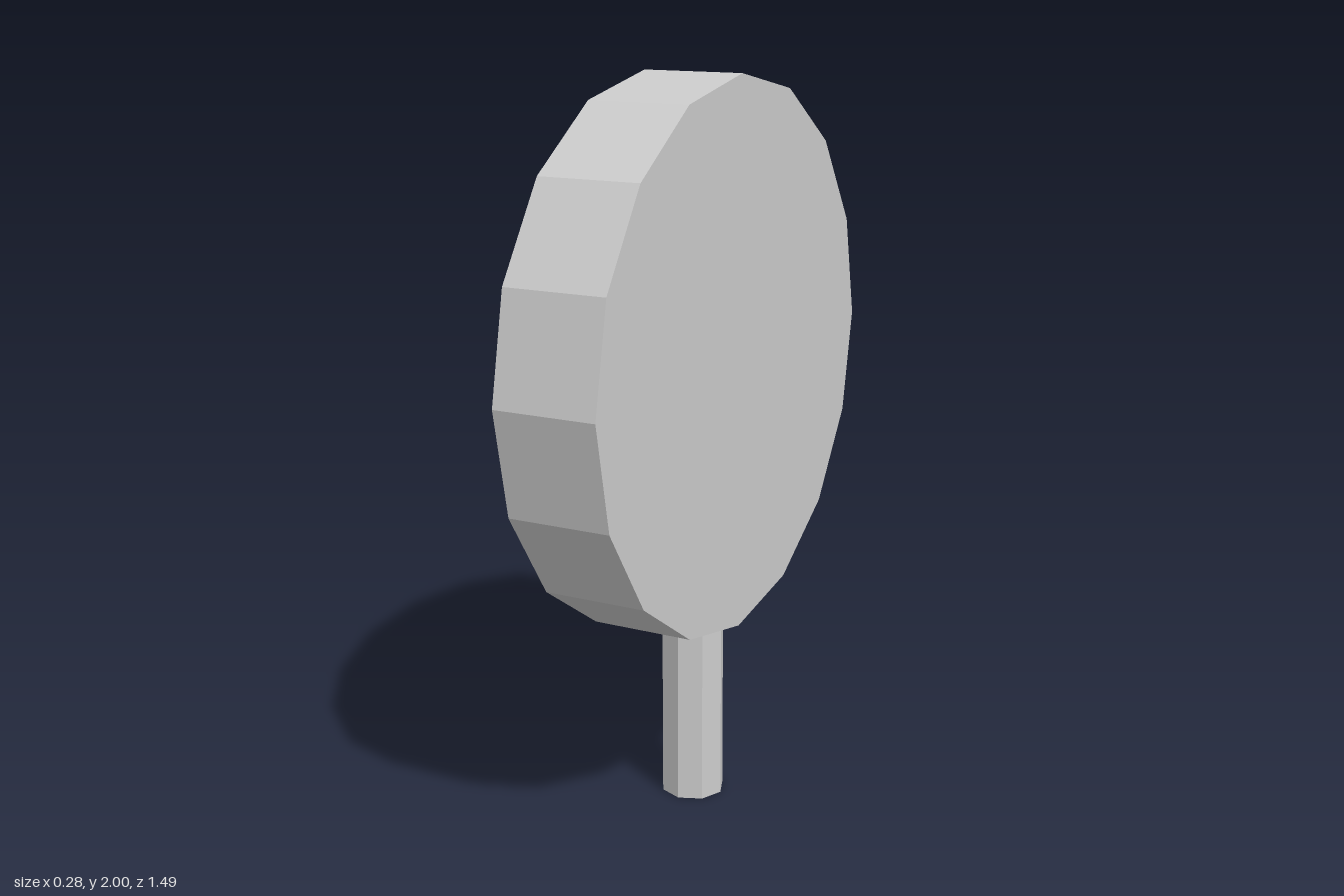
import * as THREE from 'three';

export function createModel() {
  const model = new THREE.Group();
  const grey = { color: 0xcccccc, flatShading: true };

  // Sixteen-sided disc standing on edge, its flat faces to the left and right
  const radius = 0.744;
  const discGeometry = new THREE.CylinderGeometry(radius, radius, 0.284, 16);
  discGeometry.rotateZ(Math.PI / 2);
  const disc = new THREE.Mesh(discGeometry, new THREE.MeshStandardMaterial(grey));
  disc.name = 'disc';
  disc.position.y = 2 - radius;
  model.add(disc);

  // Hollow eight-sided stick, open at the bottom, its top sunk into the disc
  const stickHeight = 0.56;
  const stick = new THREE.Mesh(
    new THREE.CylinderGeometry(0.088, 0.088, stickHeight, 8, 1, true),
    new THREE.MeshStandardMaterial({ ...grey, side: THREE.DoubleSide })
  );
  stick.name = 'stick';
  stick.position.y = stickHeight / 2;
  model.add(stick);

  return model;
}
